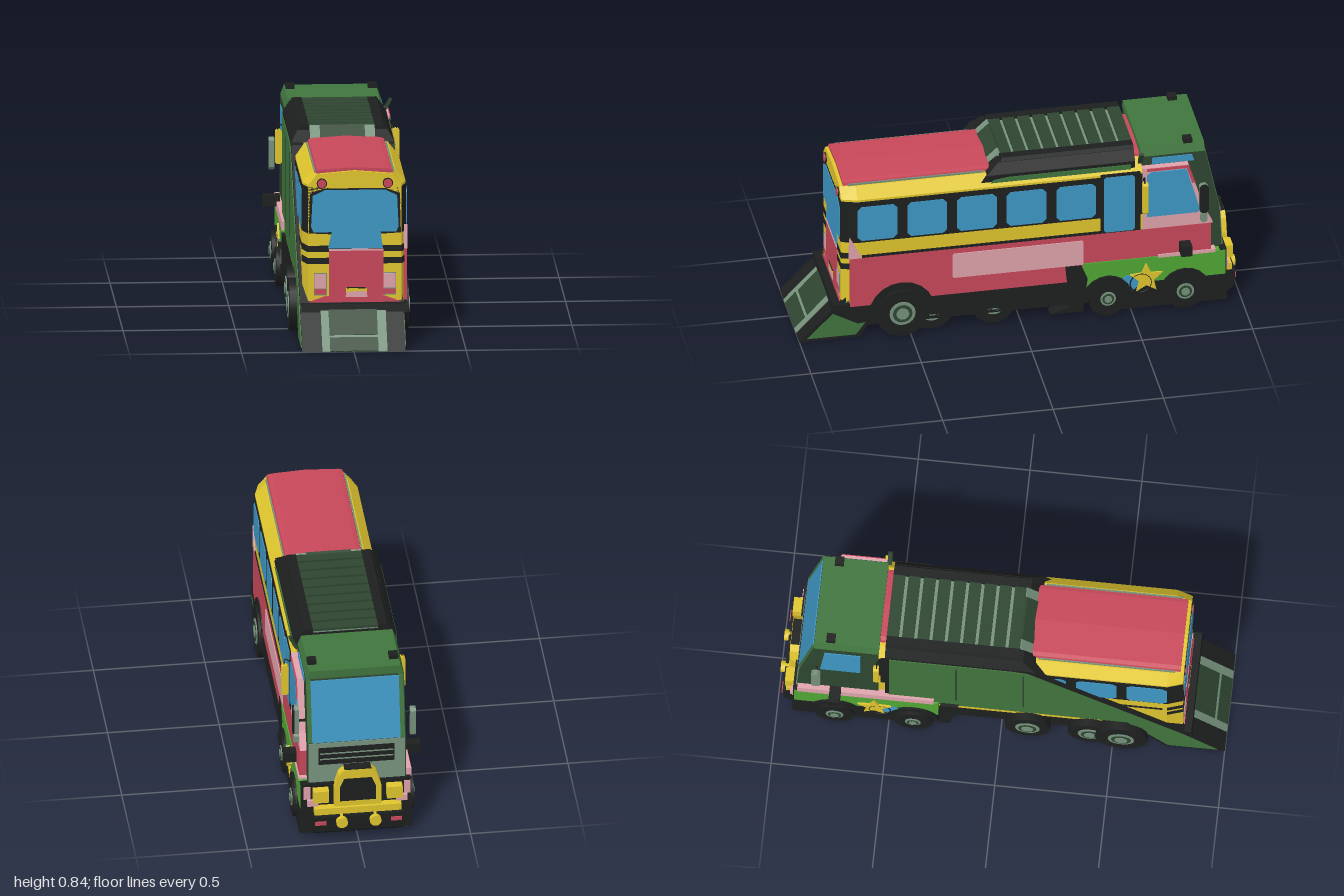
import * as THREE from 'three';

const mat = (name, color) => { const m = new THREE.MeshStandardMaterial({ color }); m.name = name; return m; };

export function createModel() {
  const root = new THREE.Group();
  root.name = 'combinedVehicle';
  const yellow = mat('yellow', 0xe0c62e), red = mat('red', 0xc8485a), pink = mat('pink', 0xe0a4ac),
    green = mat('green', 0x41763e), darkGreen = mat('dark green', 0x2f4631), lime = mat('bright green', 0x50a835),
    sage = mat('grey green', 0x76927c), black = mat('black', 0x1e1f1f), blue = mat('glass blue', 0x3e98c6);

  const add = (name, geo, m) => { const o = new THREE.Mesh(geo, m); o.name = name; root.add(o); return o; };
  // box given by its limits on each axis
  const box = (name, m, x0, x1, y0, y1, z0, z1) => {
    const o = add(name, new THREE.BoxGeometry(x1 - x0, y1 - y0, z1 - z0), m);
    o.position.set((x0 + x1) / 2, (y0 + y1) / 2, (z0 + z1) / 2);
    return o;
  };
  const extrude = (pts, depth) => new THREE.ExtrudeGeometry(
    new THREE.Shape(pts.map(p => new THREE.Vector2(...p))), { depth, bevelEnabled: false });
  // outline in (z, y), extruded along x
  const side = (name, m, pts, x0, x1) =>
    add(name, extrude(pts.map(([z, y]) => [-z, y]), x1 - x0).rotateY(Math.PI / 2).translate(x0, 0, 0), m);
  // outline in (x, y), extruded along z
  const front = (name, m, pts, z0, z1) => add(name, extrude(pts, z1 - z0).translate(0, 0, z0), m);
  const rect = (a0, a1, b0, b1, c = 0) => c
    ? [[a0 + c, b0], [a1 - c, b0], [a1, b0 + c], [a1, b1 - c], [a1 - c, b1], [a0 + c, b1], [a0, b1 - c], [a0, b0 + c]]
    : [[a0, b0], [a1, b0], [a1, b1], [a0, b1]];
  const disc = (name, m, r, depth, x, y, z, axis = 'z', n = 20) => {
    const g = new THREE.CylinderGeometry(r, r, depth, n);
    axis === 'x' ? g.rotateZ(Math.PI / 2) : g.rotateX(Math.PI / 2);
    add(name, g, m).position.set(x, y, z);
  };
  // upper half circle in (z, y)
  const halfDisc = (z, y, r) => Array.from({ length: 11 }, (_, i) =>
    [z + r * Math.cos(i * Math.PI / 10), y + r * Math.sin(i * Math.PI / 10)]);

  // ---- bus body, centred slightly to its left
  const cx = 0.015;
  const section = [[-.23, .18], [.23, .18], [.23, .72], [.185, .768], [0, .782], [-.185, .768], [-.23, .72]]
    .map(([x, y]) => [x + cx, y]);
  front('busBody', yellow, section, -.55, .74);
  const nose = (name, m, pts, end = .81) => {
    const o = front(name, m, pts, .74, end), p = o.geometry.attributes.position;
    for (let i = 0; i < p.count; i++) if (p.getZ(i) > .8) p.setX(i, cx + (p.getX(i) - cx) * .905);
    o.geometry.computeVertexNormals();
  };
  nose('busNose', yellow, section);
  nose('noseWindowBand', black, rect(cx - .233, cx + .233, .5, .71));
  for (const y of [.36, .415]) nose('noseStripe', black, rect(cx - .233, cx + .233, y, y + .028), .812);
  front('roofPanel', red, [[-.175, .76], [.175, .76], [.168, .782], [.15, .787], [0, .795], [-.15, .787], [-.168, .782]]
    .map(([x, y]) => [x + cx, y]), -.55, .795);
  for (const s of [-1, 1]) box('roofPanelEdge', sage, cx + s * .176 - .003, cx + s * .176 + .003, .765, .777, .16, .77);

  // side window bands and windows
  for (const [s, x] of [[1, cx + .23], [-1, cx - .23]]) {
    const plate = (name, m, pts, lift) => side(name, m, pts, Math.min(x, x + s * lift), Math.max(x, x + s * lift));
    plate('windowBand', black, rect(-.55, .74, .5, .71), .003);
    for (let i = 0; i < 5; i++) {
      const z = .65 - i * .225;
      plate('sideWindow', blue, rect(z - .09, z + .09, .51, .685, .018), .006);
    }
    plate('doorFrame', black, rect(-.54, -.36, .42, .725), .004);
    plate('doorGlass', blue, rect(-.515, -.375, .425, .71, .01), .007);
    plate('beltLine', black, rect(-.36, .72, .42, .432), .004);
  }

  // bus face
  const F = .81;
  front('windscreenFrame', black, [[-.19, .5], [-.185, .68], [-.12, .703], [.15, .703], [.215, .68], [.22, .5], [.13, .495], [-.1, .495]], F, F + .002);
  front('windscreen', blue, [[-.105, .43], [.14, .43], [.13, .505], [.2, .505], [.21, .53], [.203, .67], [.15, .696],
    [-.12, .696], [-.173, .67], [-.18, .53], [-.17, .505], [-.088, .505]], F, F + .005);
  front('hoodPanel', red, rect(-.1, .142, .2, .425), F, F + .006);
  front('hoodTopTrim', pink, rect(-.1, .142, .42, .428), F, F + .007);
  front('lowerTrim', red, [[-.2, .185], [.225, .185], [.15, .213], [-.12, .213]], F, F + .007);
  front('numberPlate', yellow, rect(-.025, .068, .228, .25), F, F + .009);
  front('numberPlateBase', pink, [[-.028, .21], [.072, .21], [.065, .236], [-.02, .236]], F, F + .0095);
  front('plateTop', black, rect(-.02, .062, .249, .255), F, F + .009);
  for (const s of [-1, 1]) {
    const x = cx + s * .154;
    front('headlampFrame', sage, rect(x - .029, x + .029, .217, .319), F, F + .003);
    front('headlamp', pink, rect(x - .026, x + .026, .25, .315), F, F + .005);
    front('turnLamp', red, rect(x - .026, x + .026, .222, .246), F, F + .005);
    disc('warningLampRing', black, .023, .006, cx + s * .147, .726, F + .002);
    disc('warningLamp', red, .019, .012, cx + s * .147, .726, F + .004);
  }
  side('frontBumper', black, [[.855, .145], [.85, .185], [.62, .185], [.62, .09], [.74, .08]], -.225, .248);

  // ---- red coach lower side
  box('coachSide', red, 0, .25, .17, .42, -.86, .775);
  side('coachPanel', pink, rect(-.283, .31, .27, .395, .006), .25, .254);
  side('cornerTrim', pink, [[.78, .42], [.72, .42], [.775, .53]], .2, .251);
  side('coachCab', pink, [[-.55, .42], [-.55, .735], [-.76, .735], [-.83, .5], [-.87, .42]], .1, .248);
  side('coachCabTrim', red, [[-.57, .72], [-.57, .733], [-.76, .733], [-.79, .64], [-.775, .64], [-.75, .72]], .248, .253);
  side('coachCabWindow', blue, [[-.57, .485], [-.57, .7], [-.59, .715], [-.75, .715], [-.81, .5], [-.8, .485]], .248, .254);
  box('chassis', black, -.205, .238, .06, .18, -.9, .7);
  box('sideSkirt', black, .2, .252, .09, .185, -.28, .45);

  // ---- refuse container with tail ramp
  side('containerBody', black, [[-.52, .25], [-.52, .77], [.1, .77], [.15, .76], [.83, .175], [1, 0], [.73, 0], [.55, .25]], -.23, .23);
  // chamfered roof cap
  const roofCap = (name, m, w, h, d, x, y, z, narrow, slant) => {
    const g = new THREE.BoxGeometry(w, h, d).toNonIndexed(), p = g.attributes.position;
    for (let i = 0; i < p.count; i++) if (p.getY(i) > 0) {
      p.setX(i, p.getX(i) * narrow);
      if (p.getZ(i) > 0) p.setZ(i, p.getZ(i) - slant);
    }
    g.computeVertexNormals();
    add(name, g, m).position.set(x, y, z);
  };
  roofCap('containerRoof', black, .46, .045, .67, 0, .7925, -.185, .87, .055);
  for (const s of [-1, 1]) front('roofRail', black, [[s * .146, .81], [s * .2, .81], [s * .188, .831], [s * .146, .831]], -.52, .08);
  box('roofSlatBase', sage, -.145, .145, .812, .819, -.52, .08);
  for (let i = 0; i < 9; i++) box('roofSlat', darkGreen, -.146, .146, .812, .83, -.52 + i * .068, -.466 + i * .068 + (i === 8 ? .002 : 0));
  side('roofFrontBase', sage, [[.08, .834], [.155, .765], [.145, .76], [.07, .825]], -.145, .145);
  side('roofFrontPanel', darkGreen, [[.082, .836], [.135, .788], [.125, .78], [.07, .83]], -.1, .1);
  // side sheets
  for (const x of [-.234, .23]) {
    side('containerSheet', green, [[-.5, .255], [-.5, .755], [.05, .755], [.12, .745], [.815, .165], [.965, .015], [.745, .015], [.565, .255]], x, x + .004);
  }
  for (const z of [-.2, .1]) box('sheetRib', darkGreen, -.238, -.23, .33, .72, z - .004, z + .004);
  // ramp lining
  const slope = (name, m, x0, x1, y0, y1, h) => {
    const z = y => 1 - y * .97;
    side(name, m, [[z(y0), y0], [z(y1), y1], [z(y1) + h, y1 + h], [z(y0) + h * .2, y0 + h]], x0, x1);
  };
  slope('rampRails', sage, -.14, .15, 0, .165, .003);
  slope('rampPlateLower', darkGreen, -.105, .11, 0, .052, .005);
  slope('rampPlateUpper', darkGreen, -.105, .11, .06, .165, .005);

  // ---- refuse truck cab, facing backwards
  const cabZ = y => y > .48 ? -.905 + (y - .48) * .219 : -.915 + (y - .28) * .05;
  side('cab', darkGreen, [[-.55, .15], [-.55, .78], [cabZ(.78), .78], [cabZ(.48), .48], [-.915, .28], [-.915, .15]], -.222, .218);
  roofCap('cabRoof', green, .44, .04, .29, -.002, .8, -.693, .93, 0);
  const cabPlate = (name, m, x0, x1, y0, y1, h = .004) =>
    side(name, m, [[cabZ(y0), y0], [cabZ(y1), y1], [cabZ(y1) - h, y1], [cabZ(y0) - h, y0]], x0, x1);
  for (const s of [-1, 1]) cabPlate('cabPillar', green, s * .208 - .01, s * .208 + .01, .482, .78, .003);
  cabPlate('cabWindscreen', blue, -.198, .198, .482, .772);
  cabPlate('cabLowerPanel', sage, -.217, .215, .28, .478);
  cabPlate('cabGrille', black, -.17, .17, .37, .455, .007);
  for (const y of [.395, .423]) cabPlate('grilleBar', sage, -.165, .165, y, y + .006, .009);
  side('cabDoorWindow', blue, [[-.63, .53], [-.63, .74], [-.79, .74], [-.81, .53]], -.226, -.2);
  side('cabQuarterGlass', blue, [[-.6, .738], [-.6, .77], [-.78, .77], [-.79, .738]], .2, .222);
  for (const s of [-1, 1]) box('roofLamp', black, s * .183 - .02, s * .183 + .02, .81, .84, -.785, -.745);
  box('roofSpike', darkGreen, .23, .243, .75, .82, -.555, -.535).rotation.z = -.5;

  // ---- low tractor base
  box('tractorBase', lime, -.243, .255, .13, .275, -.925, -.28);
  box('tractorBack', black, -.242, .254, .1, .28, -.93, -.9);
  box('tractorEdge', pink, -.246, -.1, .27, .315, -.91, -.3);
  box('tractorEdgeRight', pink, .1, .2555, .268, .284, -.88, -.62);
  box('tractorSkirt', black, -.246, .2575, .02, .15, -.93, -.34);
  const star = [];
  for (let i = 0; i < 10; i++) {
    const r = i % 2 ? .036 : .078, a = Math.PI / 2 + i * Math.PI / 5;
    star.push([-.565 + r * Math.cos(a), .172 + r * Math.sin(a)]);
  }
  for (const [x, s] of [[-.246, -1], [.2575, 1]]) {
    disc('blueSpot', blue, .04, .004, x + s * .002, .155, -.49, 'x');
    side('star', yellow, star, x - .006, x + .006);
    const ring = add('starRing', new THREE.TorusGeometry(.048, .003, 5, 20).rotateY(Math.PI / 2), black);
    ring.position.set(x + s * .004, .15, -.54);
    for (const z of [-.39, -.74]) side('tractorArch', black, halfDisc(z, .09, .112), x - .008, x + .008);
  }
  // tractor grille, lamps and bumper
  front('grilleSurround', yellow, [[-.105, .17], [.105, .17], [.105, .27], [.085, .335], [.06, .36], [-.06, .36], [-.085, .335], [-.105, .27]], -.96, -.9);
  front('grilleMesh', black, [[-.08, .2], [.08, .2], [.08, .27], [.062, .315], [-.062, .315], [-.08, .27]], -.966, -.95);
  box('grilleHood', black, -.06, .06, .358, .366, -.958, -.9);
  side('rearBumper', black, [[-.98, .13], [-.8, .13], [-.8, .03], [-.93, .015], [-.975, .05]], -.2, .2);
  box('bumperBar', yellow, -.195, .195, .132, .165, -.965, -.9);
  for (const s of [-1, 1]) {
    box('squareLamp', yellow, s * .165 - .035, s * .165 + .035, .2, .26, -.97, -.9);
    box('lampTrim', pink, s * .2 - .025, s * .2 + .025, .168, .198, -.945, -.9);
    box('sideTrim', pink, s * .225 - .015, s * .225 + .015, .2, .265, -.934, -.9);
    box('tailLamp', red, s * .17 - .025, s * .17 + .025, .09, .108, -.985, -.95);
    disc('fogLamp', yellow, .026, .05, s * .075, .105, -.975);
  }

  // ---- wheels, arches and mudguards
  for (const s of [-1, 1]) {
    const inner = s > 0 ? .232 : .25;
    for (const [z, r, x, k] of [[.54, .118, .266, .5], [.4, .1, inner, .55], [.12, .1, inner, .55], [-.39, .088, .27, .4], [-.74, .088, .27, .45]]) {
      disc('tyre', black, r, .09, s * (x - .045), r + .003, z, 'x', 18);
      disc('wheelRim', sage, r * k, .008, s * x, r + .003, z, 'x', 18);
      disc('rimDish', darkGreen, r * k * .75, .008, s * (x + .002), r + .003, z, 'x', 18);
      disc('wheelHub', sage, r * k * .5, .012, s * (x + .003), r + .003, z, 'x', 10);
    }

    // ---- mirrors
    const mx = cx + s * .262;
    front('busMirror', yellow, rect(mx - .015, mx + .015, .522, .678, .008), -.57, -.545);
    const arm = new THREE.CatmullRomCurve3([[.225, .66], [.24, .69], [.262, .705], [.264, .67]]
      .map(([x, y]) => new THREE.Vector3(cx + s * x, y, -.555)));
    add('mirrorArm', new THREE.TubeGeometry(arm, 8, .003, 5), black);
    box('stepMirror', black, s > 0 ? .24 : -.308, s > 0 ? .308 : -.23, .292, .342, -.765, -.715);
    box('cabMirrorBracket', black, s * .235 - .02, s * .235 + .02, .55, .558, -.83, -.82);
  }
  side('wheelArch', black, halfDisc(.54, .125, .148), .2, .255);
  side('mudguardLeft', black, [[-.2, .27], [-.27, .27], [-.3, .2], [-.28, .03], [-.13, .03], [-.22, .06]], .2, .258);
  side('mudguardRight', black, [[-.19, .27], [-.27, .27], [-.28, .06], [-.23, .06]], -.25, -.2);
  side('cabMirrorLeft', sage, rect(-.845, -.805, .49, .635, .012), .25, .27);
  side('cabMirrorLeftCover', black, rect(-.845, -.805, .49, .635, .012), .27, .276);
  side('cabMirrorLowerLeft', sage, rect(-.84, -.81, .44, .487, .008), .25, .272);
  side('cabMirrorRight', sage, rect(-.845, -.805, .44, .585, .012), -.275, -.25);
  return root;
}
